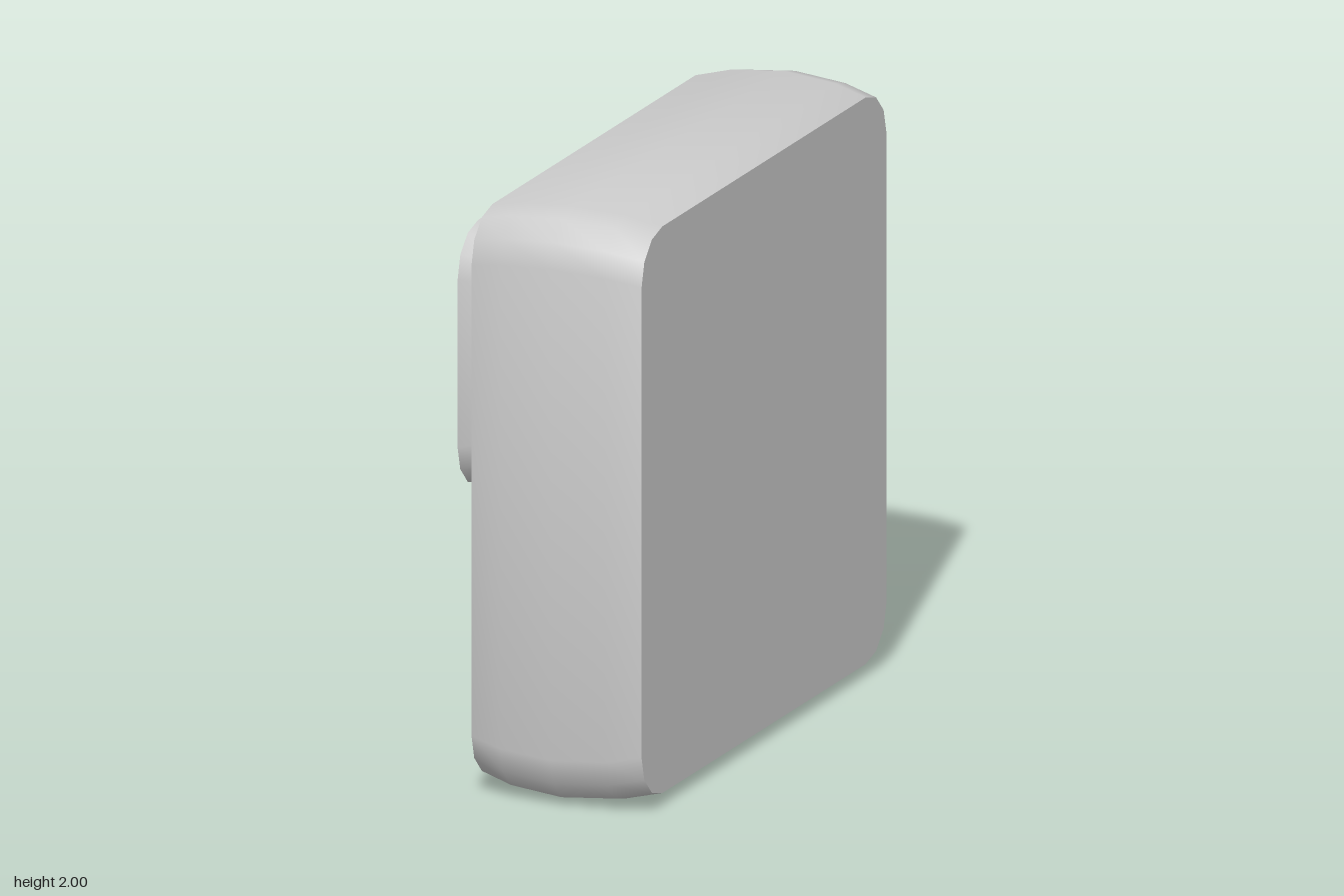
import * as THREE from 'three';
import { toCreasedNormals } from 'three/addons/utils/BufferGeometryUtils.js';

const material = new THREE.MeshStandardMaterial({ color: 0xcccccc });

// Rounded rectangle outline as [z, y] points around its own centre
function roundedOutline(halfZ, halfY, radius, segments = 3) {
  const points = [];
  const corners = [[1, 1], [-1, 1], [-1, -1], [1, -1]];
  corners.forEach(([sz, sy], k) => {
    for (let i = 0; i <= segments; i++) {
      const a = (k + i / segments) * Math.PI / 2;
      points.push([
        sz * (halfZ - radius) + radius * Math.cos(a),
        sy * (halfY - radius) + radius * Math.sin(a),
      ]);
    }
  });
  return points;
}

// Solid with capped ends, lofted along x through scaled copies of an outline
function loft(outline, sections) {
  const n = outline.length;
  const positions = [];
  const index = [];
  for (const [x, scale] of sections) {
    for (const [z, y] of outline) positions.push(x, y * scale, z * scale);
  }
  for (let s = 0; s < sections.length - 1; s++) {
    for (let i = 0; i < n; i++) {
      const j = (i + 1) % n;
      const a = s * n + i, b = s * n + j, c = b + n, d = a + n;
      index.push(a, d, b, b, d, c);
    }
  }
  const last = (sections.length - 1) * n;
  for (let i = 1; i < n - 1; i++) {
    index.push(0, i, i + 1);
    index.push(last, last + i + 1, last + i);
  }
  const geometry = new THREE.BufferGeometry();
  geometry.setAttribute('position', new THREE.Float32BufferAttribute(positions, 3));
  geometry.setIndex(index);
  return toCreasedNormals(geometry, 0.75);
}

function addPart(group, name, geometry, x, y, z) {
  const mesh = new THREE.Mesh(geometry, material);
  mesh.name = name;
  mesh.position.set(x, y, z);
  group.add(mesh);
  return mesh;
}

export function createModel() {
  const group = new THREE.Group();
  group.name = 'controlBox';

  // Casing: rounded square with sides that bulge towards the middle
  const casing = loft(roundedOutline(1, 1, 0.17), [
    [-0.25, 0.958], [-0.135, 0.985], [0.05, 1], [0.235, 0.985], [0.355, 0.958],
  ]);
  addPart(group, 'casing', casing, 0, 1, 0);

  // Display panel: flares outwards from the casing
  const panel = loft(roundedOutline(0.825, 0.4425, 0.16), [[-0.36, 1], [-0.25, 0.93]]);
  addPart(group, 'displayPanel', panel, 0, 1.4125, 0);

  // Pair of octagonal knobs below the panel
  const knob = toCreasedNormals(new THREE.CylinderGeometry(0.2425, 0.2425, 0.105, 8), 0.3);
  knob.rotateZ(Math.PI / 2);
  for (const side of [-1, 1]) {
    addPart(group, side < 0 ? 'backKnob' : 'frontKnob', knob, -0.3025, 0.5225, side * 0.415);
  }
  return group;
}
